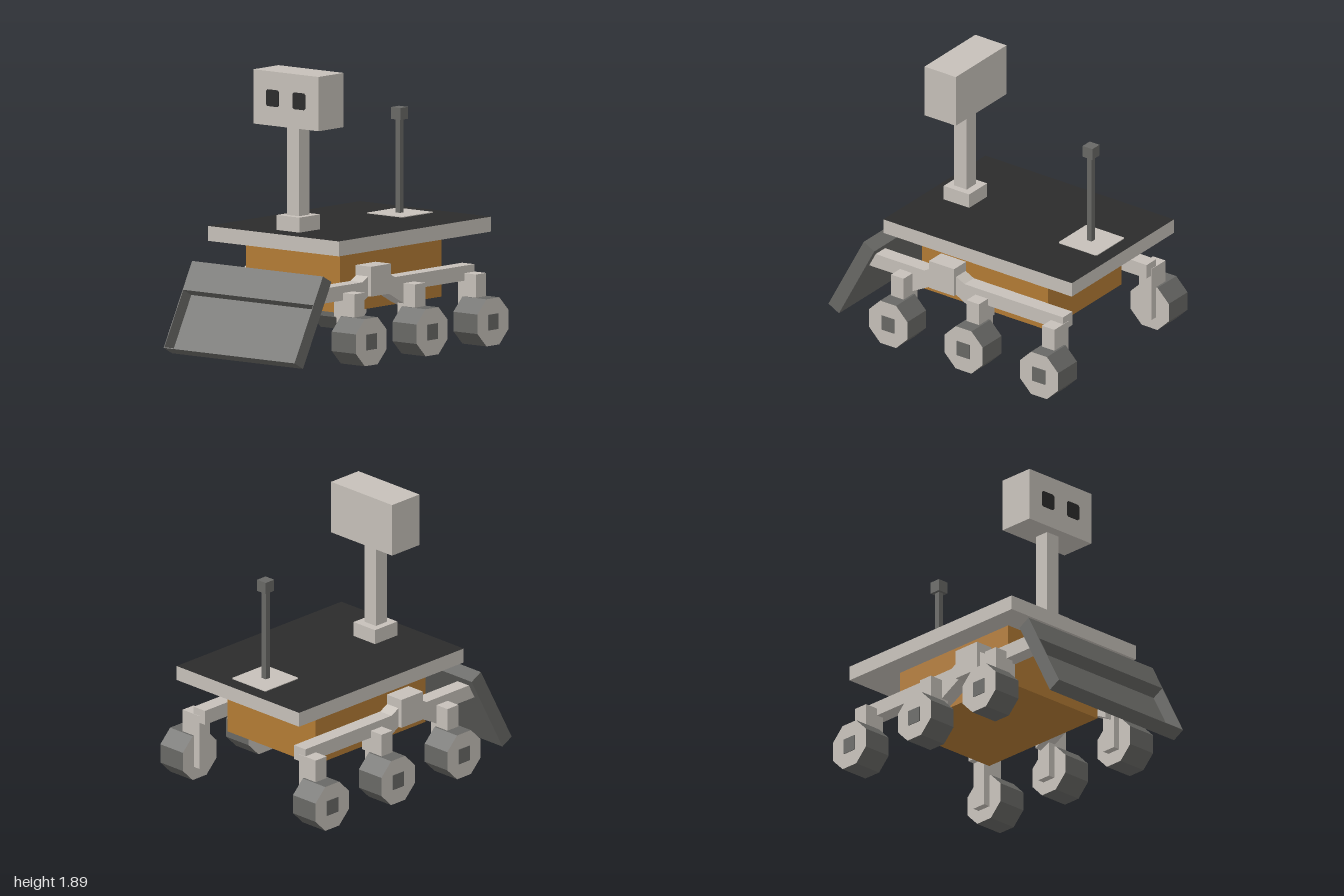
import * as THREE from 'three';

const material = (name, color) => {
  const m = new THREE.MeshStandardMaterial({ color });
  m.name = name;
  return m;
};

export function createModel() {
  const light = material('lightGrey', 0xc6c0b9);
  const grey = material('darkGrey', 0x686865);
  const black = material('nearBlack', 0x2b2b2b);
  const orange = material('orange', 0xb37b34);

  const model = new THREE.Group();
  model.name = 'rover';

  const add = (name, geometry, mat, parent = model) => {
    const mesh = new THREE.Mesh(geometry, mat);
    mesh.name = name;
    parent.add(mesh);
    return mesh;
  };

  // Box given by its lower and upper corners
  const box = (name, mat, [x0, y0, z0], [x1, y1, z1], parent = model) => {
    const mesh = add(name, new THREE.BoxGeometry(x1 - x0, y1 - y0, z1 - z0), mat, parent);
    mesh.position.set((x0 + x1) / 2, (y0 + y1) / 2, (z0 + z1) / 2);
    return mesh;
  };

  // Thin square plate with clipped corners, facing +z
  const plate = (size, clip, depth) => {
    const h = size / 2, c = h - clip;
    const shape = new THREE.Shape([[c, -h], [h, -c], [h, c], [c, h], [-c, h], [-h, c], [-h, -c], [-c, -h]]
      .map(([x, y]) => new THREE.Vector2(x, y)));
    return new THREE.ExtrudeGeometry(shape, { depth, bevelEnabled: false });
  };

  // Body and solar deck, dark on its top face
  box('body', orange, [-0.41, 0.315, -0.685], [0.41, 0.73, 0.35]);
  box('deck', [light, light, black, light, light, light], [-0.57, 0.73, -1], [0.57, 0.83, 0.55]);

  // Camera mast, head and eyes
  box('mastBase', light, [-0.1, 0.83, 0.19], [0.1, 0.93, 0.4]);
  box('mast', light, [-0.053, 0.93, 0.245], [0.053, 1.527, 0.35]);
  box('head', light, [-0.284, 1.527, 0.165], [0.284, 1.89, 0.422]);
  for (const s of [-1, 1]) {
    add('eye', plate(0.112, 0.012, 0.004), black).position.set(s * 0.115, 1.712, 0.422);
  }

  // Antenna on its mounting plate
  const mount = add('antennaMount', plate(0.316, 0.008, 0.005), light);
  mount.rotation.x = -Math.PI / 2;
  mount.position.set(0, 0.83, -0.742);
  box('antennaRod', grey, [-0.019, 0.83, -0.756], [0.019, 1.46, -0.718]);
  box('antennaTip', grey, [-0.04, 1.46, -0.778], [0.04, 1.54, -0.698]);

  // Suspension arm profile in (z, y), with braces sloping down from the hub
  const armShape = new THREE.Shape([
    [0.7, 0.52], [0.25, 0.52], [0.19, 0.555], [-0.01, 0.555], [-0.08, 0.52], [-0.89, 0.52],
    [-0.89, 0.42], [-0.25, 0.42], [-0.25, 0.3], [-0.17, 0.335], [-0.01, 0.42],
    [0.19, 0.42], [0.35, 0.335], [0.42, 0.3], [0.42, 0.42], [0.7, 0.42],
  ].map(([z, y]) => new THREE.Vector2(z, y)));
  const armGeometry = new THREE.ExtrudeGeometry(armShape, { depth: 0.105, bevelEnabled: false });
  armGeometry.rotateY(-Math.PI / 2).translate(0.0525, 0, 0);

  // Octagonal wheel standing on a flat: dark tread, light sides
  const radius = 0.1575 / Math.cos(Math.PI / 8);
  const wheelGeometry = new THREE.CylinderGeometry(radius, radius, 0.21, 8, 1, false, Math.PI / 8)
    .rotateZ(Math.PI / 2).toNonIndexed();
  wheelGeometry.computeVertexNormals();

  for (const s of [-1, 1]) {
    const side = new THREE.Group();
    side.name = s > 0 ? 'leftSuspension' : 'rightSuspension';
    model.add(side);
    const centred = (name, mat, w, h, d, x, y, z) =>
      add(name, new THREE.BoxGeometry(w, h, d), mat, side).position.set(s * x, y, z);

    add('arm', armGeometry, light, side).position.x = s * 0.4675;
    centred('armHub', light, 0.135, 0.2, 0.205, 0.4775, 0.52, 0.09);
    for (const z of [0.398, -0.222, -0.842]) {
      centred('leg', light, 0.155, 0.38, 0.103, 0.5425, 0.28, z);
      add('wheel', wheelGeometry, [grey, light, light], side).position.set(s * 0.618, 0.1575, z);
      centred('wheelCap', grey, 0.02, 0.105, 0.105, 0.718, 0.1575, z);
    }
  }

  // Tilted front scoop: solid upper block over an open tray
  const scoop = new THREE.Group();
  scoop.name = 'scoop';
  scoop.position.set(0, 0.315, 0.813);
  scoop.rotation.x = -0.485;
  model.add(scoop);
  const w = 0.57, h = 0.311, d = 0.049, t = 0.005;
  box('scoopBlock', grey, [-w, 0.105, -d], [w, h, d], scoop);
  box('scoopBack', grey, [-w, -h, -d], [w, 0.105, -d + t], scoop);
  box('scoopLip', grey, [-w, -h, -d + t], [w, -h + t, d], scoop);
  for (const s of [-1, 1]) {
    box('scoopEnd', grey, [s * (w - t / 2) - t / 2, -h + t, -d + t], [s * (w - t / 2) + t / 2, 0.105, d], scoop);
  }

  return model;
}
